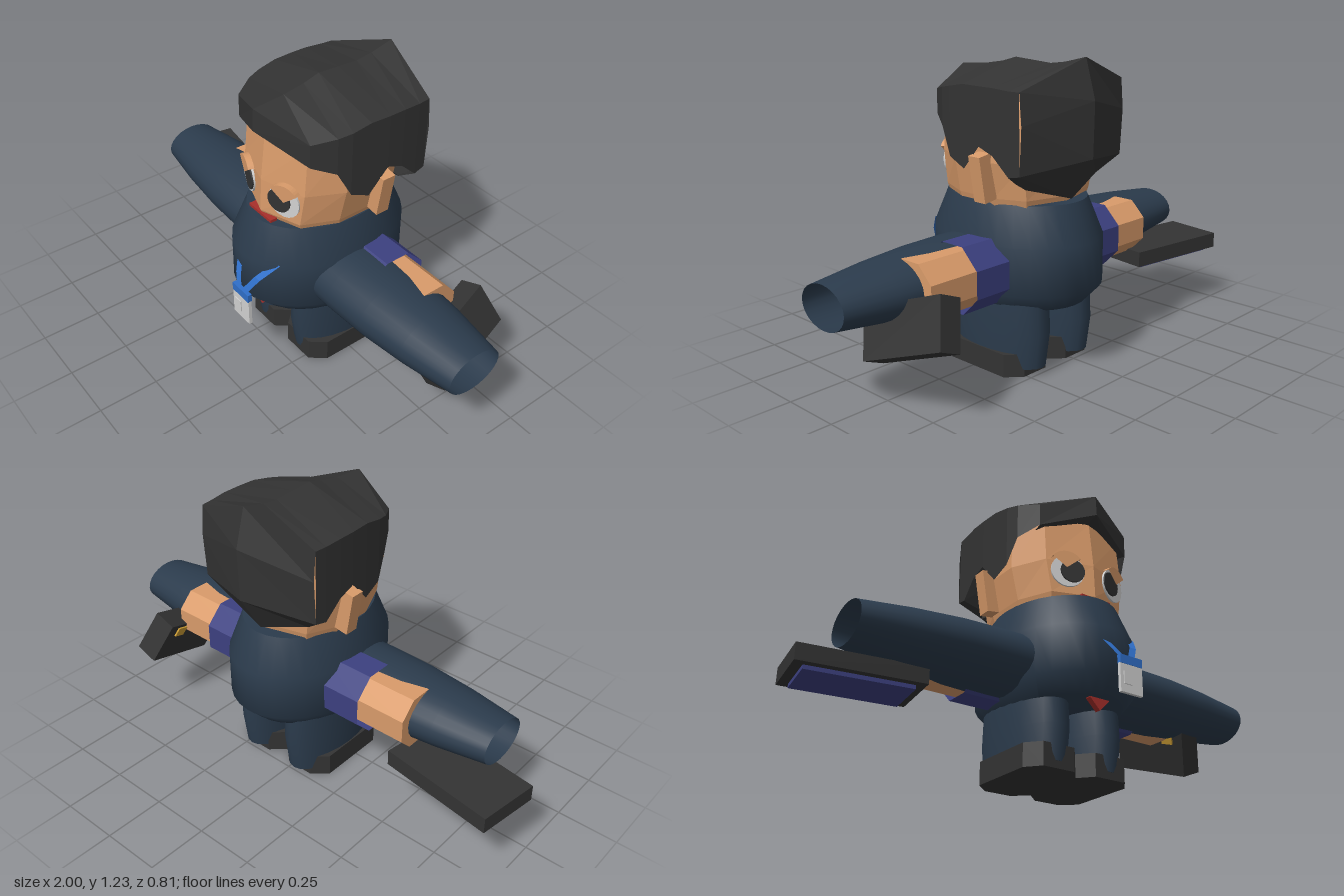
import * as THREE from 'three';
import { toCreasedNormals } from 'three/addons/utils/BufferGeometryUtils.js';

const material = (name, color) => new THREE.MeshStandardMaterial({ name, color, side: THREE.DoubleSide });

// Flat-shaded geometry from a list of quads (four points each)
function quads(list) {
  const p = [];
  for (const [a, b, c, d] of list) p.push(...a, ...b, ...c, ...a, ...c, ...d);
  const g = new THREE.BufferGeometry();
  g.setAttribute('position', new THREE.Float32BufferAttribute(p, 3));
  g.computeVertexNormals();
  return g;
}

function flat(geometry) {
  const g = geometry.toNonIndexed();
  g.computeVertexNormals();
  return g;
}

// Turned form from [radius, height] pairs
function turned(profile, segments = 24) {
  return new THREE.LatheGeometry(profile.map(([r, y]) => new THREE.Vector2(r, y)), segments);
}

export function createModel() {
  const skin = material('skin', 0xd99b6a);
  const navy = material('navy cloth', 0x2b3b4c);
  const dark = material('charcoal', 0x333333);
  const purple = material('purple cloth', 0x3c4080);
  const red = material('red tie', 0xa82f2b);
  const blue = material('lanyard blue', 0x2f6fc9);
  const white = material('light grey', 0xd2d2d2);
  const gold = material('gold', 0xd0a035);

  const model = new THREE.Group();
  const body = new THREE.Group();
  body.name = 'figure';
  body.position.x = 0.08;
  model.add(body);

  const add = (name, geometry, mat, x = 0, y = 0, z = 0, parent = body) => {
    const m = new THREE.Mesh(geometry, mat);
    m.name = name;
    m.position.set(x, y, z);
    parent.add(m);
    return m;
  };
  const box = (w, h, d) => new THREE.BoxGeometry(w, h, d);

  // Torso: deep oval barrel
  const torso = turned([[0, 0.27], [0.82, 0.27], [1, 0.34], [1, 0.53], [0.82, 0.68], [0, 0.68]], 32);
  torso.scale(0.285, 1, 0.375);
  add('torso', toCreasedNormals(torso, 0.9), navy, 0, 0, -0.015);

  // Head: faceted rings of [height, width scale, depth scale, depth offset]
  const half = [[0, 0.26], [0.19, 0.2], [0.26, 0.06], [0.26, -0.12], [0.2, -0.24], [0, -0.29]];
  const outline = [...half, ...half.slice(1, -1).reverse().map(([x, z]) => [-x, z])];
  const rings = [[0.62, 0.8, 0.9, 0], [0.7, 0.89, 1, 0.006], [0.84, 1, 1, 0], [1.04, 0.98, 0.91, 0], [1.1, 0.6, 0.6, 0], [1.11, 0, 0, 0]]
    .map(([y, sx, sz, dz]) => outline.map(([x, z]) => [x * sx, y, z * sz + dz]));
  const headFaces = [];
  for (let i = 0; i < rings.length - 1; i++) {
    for (let j = 0; j < outline.length; j++) {
      const k = (j + 1) % outline.length;
      headFaces.push([rings[i][j], rings[i][k], rings[i + 1][k], rings[i + 1][j]]);
    }
  }
  add('head', quads(headFaces), skin);

  // Hair: stations of [side z, half width, lower y, upper y, crown y, crown z]
  const stations = [
    [0.2, 0.22, 0.985, 1.08, 1.155, 0.285], [0.115, 0.27, 0.95, 1.1, 1.165, 0.15],
    [0.06, 0.285, 0.845, 1.11, 1.18, 0.06], [-0.02, 0.29, 0.81, 1.125, 1.2, -0.01],
    [-0.105, 0.295, 0.905, 1.125, 1.195, -0.1], [-0.175, 0.295, 0.88, 1.125, 1.19, -0.19],
    [-0.25, 0.29, 0.81, 1.12, 1.2, -0.26], [-0.3, 0.285, 0.82, 1.12, 1.225, -0.36],
  ];
  // Back rows: [side point, centre point]
  const backRows = [
    [[0.285, 1.12, -0.3], [0, 1.225, -0.36]], [[0.285, 1.0, -0.31], [0, 1.07, -0.405]],
    [[0.285, 0.82, -0.3], [0, 0.855, -0.4]], [[0.2, 0.75, -0.25], [0, 0.69, -0.3]],
    [[0.15, 0.78, -0.22], [0, 0.71, -0.24]],
  ];
  const hairFaces = [];
  for (const s of [1, -1]) {
    const put = (...pts) => {
      const q = pts.map(([x, y, z]) => [x * s, y, z]);
      hairFaces.push(s > 0 ? q : q.reverse());
    };
    for (let i = 0; i < stations.length - 1; i++) {
      const [z, w, lo, up, crown, cz] = stations[i];
      const [z2, w2, lo2, up2, crown2, cz2] = stations[i + 1];
      put([w, lo, z], [w2, lo2, z2], [w2, up2, z2], [w, up, z]);
      put([w, up, z], [w2, up2, z2], [0, crown2, cz2], [0, crown, cz]);
    }
    for (let i = 0; i < backRows.length - 1; i++) {
      const [a, b] = backRows[i], [c, d] = backRows[i + 1];
      put(a, c, d, b);
    }
    put([0.285, 0.82, -0.3], [0.29, 0.81, -0.25], [0.22, 0.77, -0.22], [0.2, 0.75, -0.25]);
    // Fringe front and underside
    put([0, 1.065, 0.29], [0.22, 0.985, 0.2], [0.22, 1.08, 0.2], [0, 1.155, 0.285]);
    put([0, 1.065, 0.29], [0, 1.05, 0.2], [0.2, 0.99, 0.12], [0.22, 0.985, 0.2]);
  }
  add('hair', quads(hairFaces), dark);

  for (const s of [1, -1]) {
    // Eye with pupil and upper lid, turned to follow the face
    const eye = new THREE.Group();
    eye.name = 'eye';
    eye.position.set(s * 0.112, 0.793, 0.236);
    eye.rotation.y = s * 0.33;
    body.add(eye);
    const disc = (r) => new THREE.CylinderGeometry(r, r, 0.008, 20).rotateX(Math.PI / 2);
    add('eyeWhite', disc(0.069), white, 0, 0, 0, eye);
    add('pupil', disc(0.05), dark, -s * 0.019, 0, 0.006, eye);
    const lid = new THREE.CylinderGeometry(0.073, 0.073, 0.025, 12, 1, false, -0.9, 1.8).rotateX(-Math.PI / 2);
    add('eyelid', flat(lid), skin, s * 0.008, 0.007, 0.005, eye);

    // Ear
    const ear = add('ear', box(0.06, 0.18, 0.058), skin, s * 0.27, 0.785, -0.098);
    ear.rotation.z = -s * 0.16;

    // Wide open sleeve
    const sleeve = turned([[1, 0.2], [1, 0.32], [0.97, 0.5], [0.86, 0.7], [0.67, 0.92]]);
    sleeve.rotateZ(-s * Math.PI / 2).scale(1, 0.125, 0.18);
    add('sleeve', sleeve, navy, 0, 0.427, 0.012);

    // Inner cuff and forearm showing behind the sleeve
    const limb = (r, l) => flat(new THREE.CylinderGeometry(r, r, l, 8, 1, true).rotateX(0).rotateY(Math.PI / 8).rotateZ(Math.PI / 2));
    add('innerSleeve', limb(0.141, 0.24), purple, s * 0.29, 0.425, -0.078);
    add('forearm', flat(new THREE.CylinderGeometry(0.122, 0.122, 0.36, 8).rotateY(Math.PI / 8).rotateZ(Math.PI / 2)), skin, s * 0.43, 0.425, -0.076);

    // Trouser leg
    const leg = turned([[0, 0.03], [0.92, 0.03], [1, 0.17], [0.97, 0.32]]);
    leg.scale(0.119, 1, 0.243);
    add('leg', toCreasedNormals(leg, 0.9), navy, s * 0.122, 0, -0.04);

    // Shoe: eight-sided block
    const sole = new THREE.Shape([[-0.07, -0.18], [0.07, -0.18], [0.12, -0.12], [0.12, 0.17], [0.06, 0.225], [-0.06, 0.225], [-0.12, 0.17], [-0.12, -0.12]]
      .map(([x, y]) => new THREE.Vector2(x, y)));
    const shoe = new THREE.ExtrudeGeometry(sole, { depth: 0.093, bevelEnabled: false }).rotateX(-Math.PI / 2);
    add('shoe', shoe, dark, s * 0.12, 0, 0);
  }

  // Tie: knot above the collar and tip below the hem
  add('tieKnot', box(0.14, 0.04, 0.03), red, 0, 0.672, 0.255);
  const tip = new THREE.Shape([[-0.055, 0.07], [-0.045, 0.045], [0, 0], [0.045, 0.045], [0.055, 0.07]].map(([x, y]) => new THREE.Vector2(x, y)));
  add('tieTip', new THREE.ExtrudeGeometry(tip, { depth: 0.025, bevelEnabled: false }), red, 0, 0.222, 0.25);

  // Badge on a lanyard
  add('badgeCard', box(0.105, 0.115, 0.014), white, 0.048, 0.315, 0.398);
  add('badgeClip', box(0.105, 0.035, 0.018), blue, 0.048, 0.388, 0.398);
  add('badgePhoto', box(0.04, 0.05, 0.004), white, 0.03, 0.315, 0.407);
  const strap = (a, b, c, w) => {
    const pts = [a, b, c];
    const f = [];
    for (let i = 0; i < 2; i++) {
      const [p, q] = [pts[i], pts[i + 1]];
      f.push([[p[0] - w, p[1], p[2]], [p[0] + w, p[1], p[2]], [q[0] + w, q[1], q[2]], [q[0] - w, q[1], q[2]]]);
    }
    return quads(f);
  };
  add('strapLeft', strap([0.06, 0.4, 0.392], [0.1, 0.47, 0.36], [0.145, 0.54, 0.295], 0.016), blue);
  add('strapRight', strap([0.02, 0.4, 0.392], [-0.005, 0.435, 0.377], [-0.035, 0.49, 0.345], 0.016), blue);

  // Tablet under the right hand, screen facing down
  const tablet = new THREE.Group();
  tablet.name = 'tablet';
  tablet.position.set(-0.742, 0.292, -0.113);
  tablet.rotation.y = -0.145;
  model.add(tablet);
  add('tabletCase', box(0.485, 0.066, 0.26), dark, 0, 0, 0, tablet);
  add('tabletScreen', box(0.41, 0.016, 0.2), purple, 0, -0.041, 0, tablet);

  // Briefcase in the left hand, tilted
  const briefcase = new THREE.Group();
  briefcase.name = 'briefcase';
  const along = new THREE.Vector3(-0.06, 0.12, -0.35).normalize();
  const across = along.clone().cross(new THREE.Vector3(0.08, -0.2, -0.06)).normalize();
  const up = along.clone().cross(across);
  briefcase.quaternion.setFromRotationMatrix(new THREE.Matrix4().makeBasis(across, up, along));
  briefcase.position.set(0.75, 0.318, -0.146);
  model.add(briefcase);
  add('caseBody', box(0.1, 0.195, 0.37), dark, 0, 0, 0, briefcase);
  for (const z of [-0.105, 0.105]) add('latch', box(0.008, 0.045, 0.055), gold, 0.053, 0.06, z, briefcase);

  return model;
}
